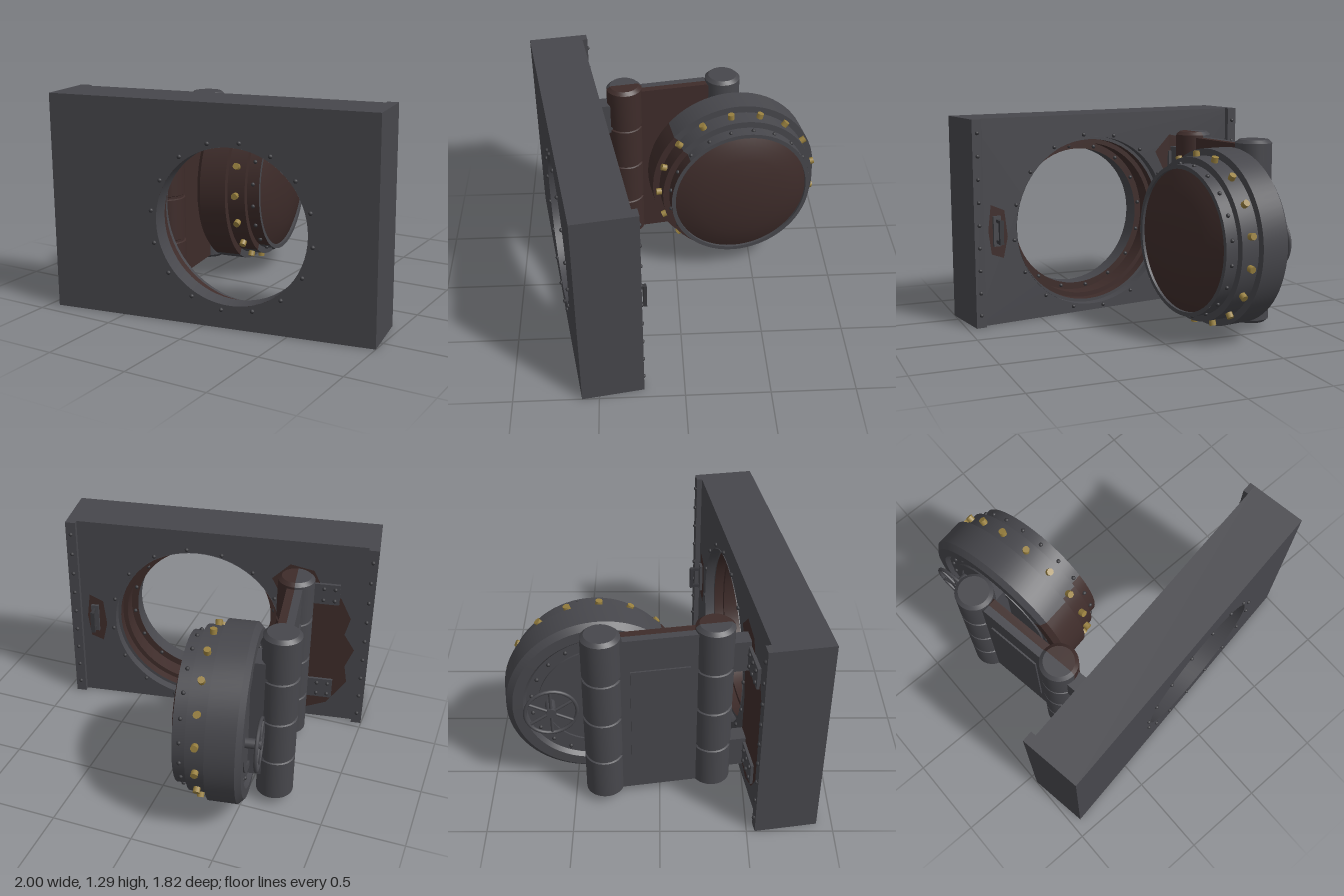
import * as THREE from 'three';
import { toCreasedNormals } from 'three/addons/utils/BufferGeometryUtils.js';

const flat = (name, color) => new THREE.MeshStandardMaterial({ name, color, side: THREE.DoubleSide });

export function createModel() {
  const steel = flat('dark steel', 0x47474c);
  const rust = flat('brown rust', 0x3e2c2a);
  const brass = flat('brass', 0x98803f);
  const boltSteel = flat('bolt steel', 0x38383c);

  const CY = 0.593;          // height of hole and door centre
  const HOLE_X = 0.137, W = 0.983, H = 1.29, BACK = -0.335;
  const model = new THREE.Group();
  const vault = new THREE.Group();
  vault.name = 'vault';
  vault.position.set(0.03, 0, 0.755);
  vault.rotation.y = 0.159;
  model.add(vault);

  const add = (parent, name, geo, mat, x = 0, y = 0, z = 0) => {
    const m = new THREE.Mesh(geo, mat);
    m.name = name;
    m.position.set(x, y, z);
    parent.add(m);
    return m;
  };
  const box = (parent, name, mat, x0, x1, y0, y1, z0, z1) =>
    add(parent, name, new THREE.BoxGeometry(x1 - x0, y1 - y0, z1 - z0), mat,
      (x0 + x1) / 2, (y0 + y1) / 2, (z0 + z1) / 2);
  const lathe = (pts, seg = 64, start = 0, len = Math.PI * 2) =>
    toCreasedNormals(new THREE.LatheGeometry(pts.map(p => new THREE.Vector2(...p)), seg, start, len), 0.5);
  const group = (name, x, y, z) => {
    const g = new THREE.Group();
    g.name = name;
    g.position.set(x, y, z);
    vault.add(g);
    return g;
  };
  const stud = new THREE.SphereGeometry(0.013, 10, 6);
  const bolt = (parent, x, y, z) => add(parent, 'bolt', stud, boltSteel, x, y, z);

  // Hollow wall, open underneath, with a round passage
  const plate = r => {
    const s = new THREE.Shape([[-W, 0], [W, 0], [W, H], [-W, H]].map(p => new THREE.Vector2(...p)));
    s.holes.push(new THREE.Path().absarc(HOLE_X, CY, r, 0, Math.PI * 2, true));
    return new THREE.ShapeGeometry(s, 64);
  };
  add(vault, 'wallFront', plate(0.455), steel);
  const back = plate(0.55);
  back.scale(-1, 1, 1);
  back.rotateY(Math.PI);
  back.scale(1, 1, -1);
  add(vault, 'wallBack', back, steel, 0, 0, BACK);
  const lid = add(vault, 'wallTop', new THREE.PlaneGeometry(2 * W, -BACK), steel, 0, H, BACK / 2);
  lid.rotation.x = -Math.PI / 2;
  for (const s of [-1, 1]) {
    const end = add(vault, 'wallEnd', new THREE.PlaneGeometry(-BACK, H), steel, s * W, H / 2, BACK / 2);
    end.rotation.y = s * Math.PI / 2;
    // Bolted strip on each rear edge
    const x = s * (W - 0.0325);
    box(vault, 'edgeStrip', steel, x - 0.0325, x + 0.0325, 0, H, -0.367, BACK);
    for (let i = 0; i < 9; i++) bolt(vault, x, 0.08 + i * 0.141, -0.368);
  }

  // Stepped passage lining: steel at the front, rusted behind
  const passage = group('passage', HOLE_X, CY, 0);
  passage.rotation.x = Math.PI / 2;
  add(passage, 'frontLining', lathe([[0.455, 0], [0.455, -0.11]]), steel);
  add(passage, 'rearLining', lathe([[0.455, -0.11], [0.5, -0.11], [0.5, -0.22], [0.53, -0.22], [0.53, -0.28]]), rust);
  add(passage, 'rearLip', lathe([[0.53, -0.28], [0.55, -0.28], [0.55, -0.34]]), steel);
  for (let i = 0; i < 16; i++) {
    const a = (i / 16) * Math.PI * 2 - 0.12, c = Math.cos(a), s = Math.sin(a);
    bolt(vault, HOLE_X + 0.487 * c, CY + 0.487 * s, 0.003);
    bolt(vault, HOLE_X + 0.572 * c, CY + 0.572 * s, BACK - 0.003);
    bolt(vault, HOLE_X + 0.478 * c, CY + 0.478 * s, -0.113);
  }

  // Rust stains on the rear of the wall
  const stain = pts => add(vault, 'rustStain', new THREE.ShapeGeometry(
    new THREE.Shape(pts.map(p => new THREE.Vector2(...p)))), rust, 0, 0, BACK - 0.003);
  stain([[-0.46, 0.12], [-0.6, 0.06], [-0.74, 0.12], [-0.86, 0.3], [-0.84, 0.42], [-0.89, 0.55], [-0.82, 0.66],
    [-0.85, 0.78], [-0.78, 0.92], [-0.66, 0.98], [-0.6, 1.1], [-0.45, 1.13], [-0.34, 1.02], [-0.43, 0.85], [-0.47, 0.6]]);
  stain([[0.78, 0.42], [0.86, 0.45], [0.88, 0.6], [0.86, 0.76], [0.77, 0.72], [0.75, 0.55]]);

  // Latch on the free side
  box(vault, 'latchPlate', steel, 0.8, 0.85, 0.5, 0.69, BACK - 0.02, BACK);
  for (const y of [0.53, 0.66]) box(vault, 'latchStem', boltSteel, 0.817, 0.833, y - 0.01, y + 0.01, BACK - 0.07, BACK);
  box(vault, 'latchBar', boltSteel, 0.812, 0.838, 0.52, 0.67, BACK - 0.085, BACK - 0.065);

  // Round door, open at a right angle, plug facing +x
  const door = group('door', 0, CY, -1.182);
  const turned = new THREE.Group();
  turned.name = 'doorBody';
  turned.rotation.z = -Math.PI / 2;
  door.add(turned);
  const rim = [[0.44, -0.375], [0.5, -0.372], [0.533, -0.34], [0.533, -0.17], [0.49, -0.17],
    [0.49, -0.055], [0.45, -0.055], [0.45, 0.025]];
  const r0 = -0.74, r1 = 1.0;
  add(turned, 'rustedRim', lathe(rim, 20, r0, r1 - r0), rust);
  add(turned, 'steelRim', lathe(rim, 52, r1, Math.PI * 2 - r1 + r0), steel);
  add(turned, 'plugLip', lathe([[0.45, 0.025], [0.425, 0.025], [0.425, 0.0]]), steel);
  add(turned, 'plugDome', lathe([[0.425, 0.008], [0.37, 0.032], [0.28, 0.06], [0.15, 0.08], [0, 0.086]]), rust);
  add(turned, 'doorBack', lathe([[0, -0.35], [0.31, -0.35], [0.31, -0.362], [0.35, -0.362], [0.35, -0.35],
    [0.42, -0.35], [0.44, -0.375]]), steel);

  // Brass locking bolts and small studs round the plug
  const pin = new THREE.CylinderGeometry(0.021, 0.021, 0.05, 10);
  for (let i = 0; i < 17; i++) {
    const a = (i / 17) * Math.PI * 2;
    const p = add(door, 'lockingBolt', pin, brass, -0.114, 0.497 * Math.sin(a), 0.497 * Math.cos(a));
    p.rotation.x = Math.PI / 2 - a;
  }
  for (let i = 0; i < 20; i++) {
    const a = ((i + 0.5) / 20) * Math.PI * 2, c = Math.cos(a), s = Math.sin(a);
    bolt(door, -0.016, 0.452 * s, 0.452 * c);
    bolt(door, -0.352, 0.39 * s, 0.39 * c);
  }

  // Hand wheel on the door's outer face
  const wheel = group('handWheel', -0.44, CY, -1.465);
  add(wheel, 'wheelRim', new THREE.TorusGeometry(0.15, 0.011, 8, 32), steel).rotation.y = Math.PI / 2;
  const hub = add(wheel, 'wheelHub', new THREE.CylinderGeometry(0.03, 0.03, 0.1, 16), steel, 0.035);
  hub.rotation.z = Math.PI / 2;
  for (let i = 0; i < 3; i++) {
    const s = add(wheel, 'wheelSpoke', new THREE.CylinderGeometry(0.009, 0.009, 0.3, 8), steel);
    s.rotation.x = i * Math.PI / 3;
  }

  // Hinge posts with collars and bevelled caps
  const HX = -0.51, DZ = -1.175, WZ = -0.535;
  const post = [[0, 0.035], [0.09, 0.035], [0.112, 0.055], [0.112, 0.31], [0.103, 0.315], [0.103, 0.33], [0.112, 0.335],
    [0.112, 0.59], [0.103, 0.595], [0.103, 0.61], [0.112, 0.615], [0.112, 0.87], [0.103, 0.875], [0.103, 0.89],
    [0.112, 0.895], [0.112, 1.145], [0.09, 1.165], [0, 1.165]];
  add(vault, 'doorPost', lathe(post, 32), steel, HX, 0, DZ);
  add(vault, 'wallPostOuter', lathe(post, 16, Math.PI, Math.PI), steel, HX, 0, WZ);
  add(vault, 'wallPostInner', lathe(post, 16, 0, Math.PI), rust, HX, 0, WZ);
  box(vault, 'doorPostMount', steel, HX, -0.35, 0.2, 0.99, DZ - 0.08, DZ + 0.08);

  // Swing arm: steel outside, rusted inside, with clipped corners
  const armShape = new THREE.Shape([[-1.12, 0.09], [-1.08, 0.055], [-0.59, 0.055], [-0.55, 0.09], [-0.55, 1.09],
    [-0.59, 1.13], [-1.06, 1.13], [-1.12, 1.08]].map(([z, y]) => new THREE.Vector2(-z, y)));
  const armHalf = (name, mat, x) => {
    const g = new THREE.ExtrudeGeometry(armShape, { depth: 0.047, bevelEnabled: false });
    add(vault, name, g, mat, x).rotation.y = Math.PI / 2;
  };
  armHalf('armOuter', steel, HX - 0.047);
  armHalf('armInner', rust, HX);
  box(vault, 'armPanel', steel, HX - 0.057, HX - 0.047, 0.25, 0.92, -1.02, -0.68);

  // Wall brackets carrying the hinge
  for (const y of [0.24, 0.95]) {
    box(vault, 'hingeBracket', steel, HX - 0.05, HX + 0.05, y - 0.1, y + 0.1, WZ, BACK);
    box(vault, 'bracketPlate', steel, -0.77, -0.44, y - 0.07, y + 0.07, BACK - 0.02, BACK);
    for (const x of [-0.74, -0.67, -0.6])
      for (const d of [-0.04, 0.04]) bolt(vault, x, y + d, BACK - 0.022);
  }
  return model;
}
